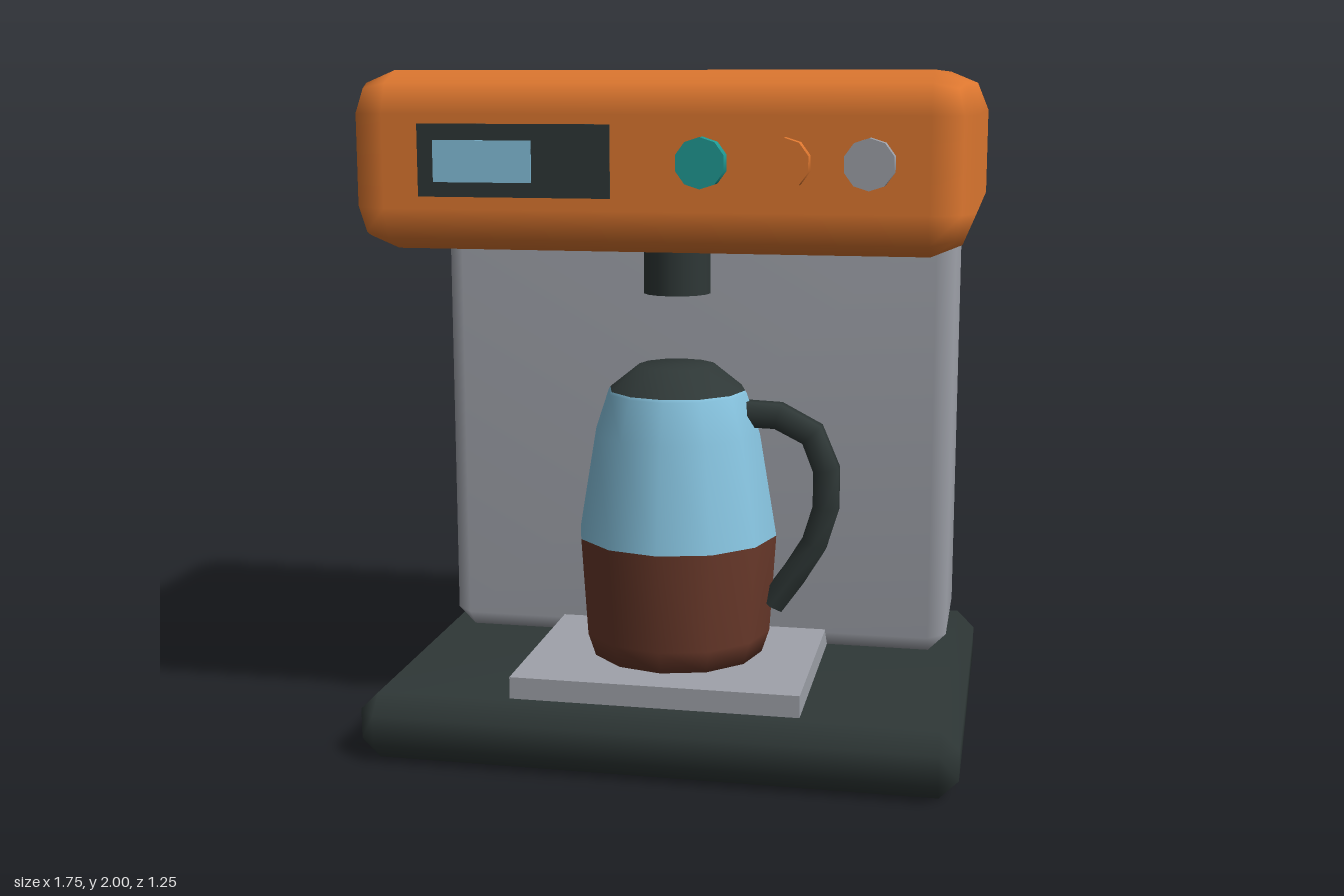
import * as THREE from 'three';
import { mergeVertices } from 'three/addons/utils/BufferGeometryUtils.js';
import { RoundedBoxGeometry } from 'three/addons/geometries/RoundedBoxGeometry.js';
import { ConvexGeometry } from 'three/addons/geometries/ConvexGeometry.js';

function material(name, color, side = THREE.FrontSide) {
  const m = new THREE.MeshStandardMaterial({ color, side });
  m.name = name;
  return m;
}

// Box with chamfered edges and softened normals
function chamferBox(w, h, d, c) {
  const points = [];
  for (const x of [-1, 1]) for (const y of [-1, 1]) for (const z of [-1, 1]) {
    for (let full = 0; full < 3; full++) {
      const inset = [0, 1, 2].map(i => (i === full ? 0 : c));
      points.push(new THREE.Vector3(
        x * (w / 2 - inset[0]), y * (h / 2 - inset[1]), z * (d / 2 - inset[2])));
    }
  }
  const geo = new ConvexGeometry(points);
  geo.deleteAttribute('normal');
  const merged = mergeVertices(geo, 1e-4);
  merged.computeVertexNormals();
  return merged;
}

export function createModel() {
  const orange = material('orange', 0xdf7830);
  const grey = material('grey', 0x9fa2aa);
  const dark = material('charcoal', 0x2f3837);
  const blue = material('light blue', 0x87c4e0, THREE.DoubleSide);
  const brown = material('coffee brown', 0x6b3a2b, THREE.DoubleSide);
  const teal = material('teal', 0x209c96);

  const model = new THREE.Group();
  model.name = 'coffeeMachine';
  const add = (name, geo, mat, x, y, z, parent = model) => {
    const mesh = new THREE.Mesh(geo, mat);
    mesh.name = name;
    mesh.position.set(x, y, z);
    parent.add(mesh);
    return mesh;
  };

  // Housing
  add('base', chamferBox(1.75, 0.2, 1.25, 0.055), dark, 0, 0.1, -0.04);
  add('body', chamferBox(1.6, 1.4, 0.52, 0.055), grey, 0, 0.9, -0.375);
  add('head', new RoundedBoxGeometry(1.75, 0.5, 1.205, 1, 0.12), orange, 0, 1.75, -0.0625);
  add('dripTray', new THREE.BoxGeometry(0.85, 0.065, 0.75), grey, 0, 0.2325, 0.135);
  add('spout', new THREE.CylinderGeometry(0.1, 0.1, 0.25, 16), dark, 0, 1.48, 0.138);

  // Control panel
  add('displayPanel', new THREE.BoxGeometry(0.545, 0.2, 0.008), dark, -0.378, 1.755, 0.541);
  add('displayScreen', new THREE.BoxGeometry(0.28, 0.115, 0.008), blue, -0.465, 1.753, 0.545);
  [[0.15, teal], [0.375, orange], [0.6, grey]].forEach(([x, mat], i) => {
    const knob = new THREE.CylinderGeometry(0.069, 0.069, 0.08, 10);
    add('knob' + (i + 1), knob, mat, x, 1.755, 0.549).rotation.x = Math.PI / 2;
  });

  // Carafe
  const carafe = new THREE.Group();
  carafe.name = 'carafe';
  carafe.position.z = 0.138;
  model.add(carafe);
  const lathe = (name, profile, mat) => add(name,
    new THREE.LatheGeometry(profile.map(p => new THREE.Vector2(...p)), 12), mat, 0, 0, 0, carafe);
  lathe('coffee', [[0, 0.266], [0.26, 0.266], [0.283, 0.335], [0.302, 0.63]], brown);
  lathe('glass', [[0.302, 0.63], [0.25, 0.94], [0.21, 1.06], [0.205, 1.068]], blue);
  lathe('lid', [[0.205, 1.06], [0.205, 1.068], [0.115, 1.14], [0, 1.14]], dark);

  // Carafe handle
  const path = new THREE.CatmullRomCurve3([
    [0.19, 1.0], [0.31, 0.995], [0.415, 0.935], [0.455, 0.79], [0.42, 0.62], [0.29, 0.42],
  ].map(([x, y]) => new THREE.Vector3(x, y, 0)));
  const handle = new THREE.TubeGeometry(path, 7, 0.044, 6);
  add('handle', handle, dark, 0, 0, 0, carafe);
  // Caps closing the handle ends
  for (const [t, sign] of [[0, -1], [1, 1]]) {
    const cap = add('handleCap', new THREE.CircleGeometry(0.044, 6), dark, 0, 0, 0, carafe);
    cap.position.copy(path.getPointAt(t));
    cap.lookAt(cap.getWorldPosition(new THREE.Vector3())
      .add(path.getTangentAt(t).multiplyScalar(sign)));
    cap.rotateZ(Math.PI / 6);
  }
  return model;
}
